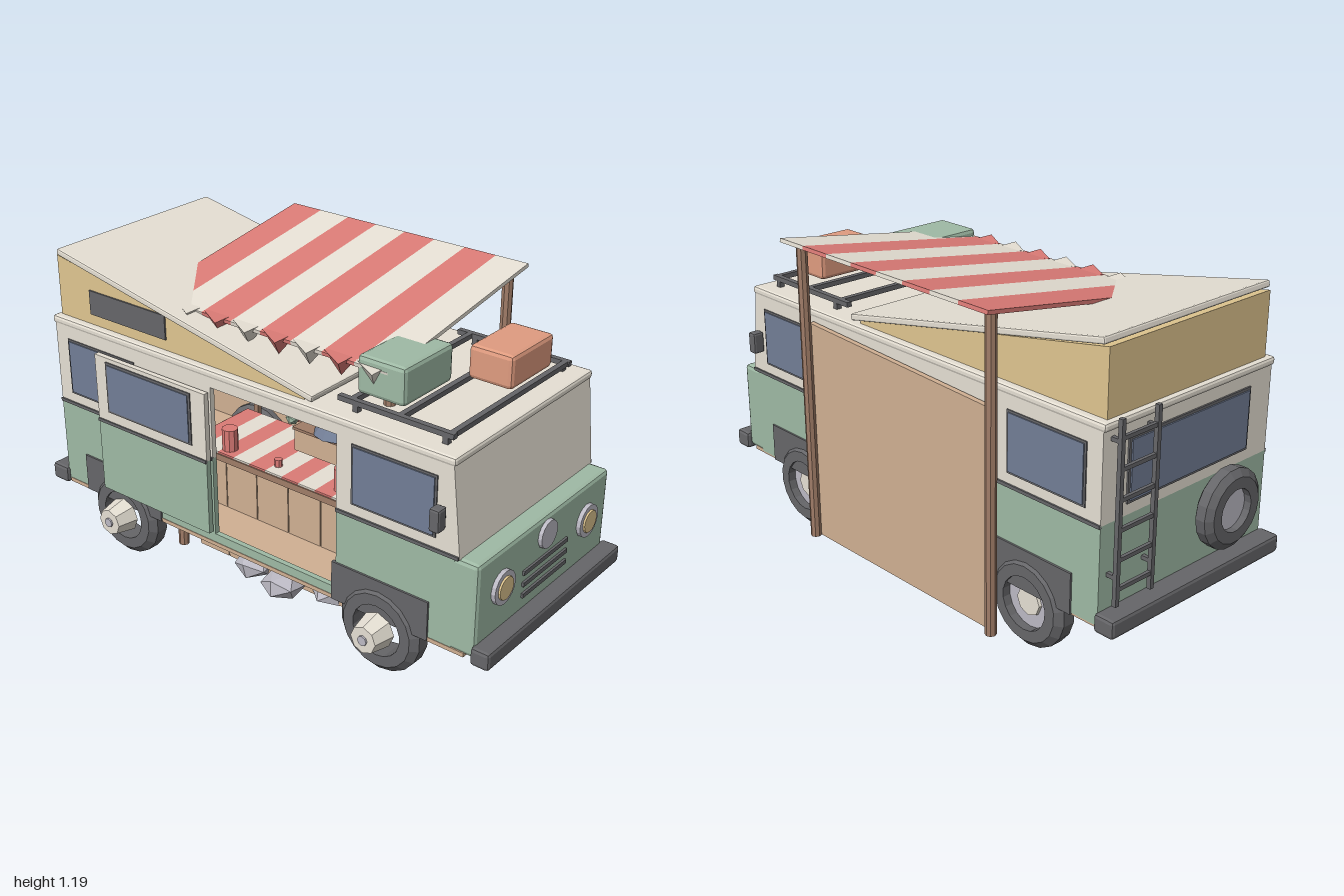
import * as THREE from 'three';
import { RoundedBoxGeometry } from 'three/addons/geometries/RoundedBoxGeometry.js';

const mat = (name, color) => {
  const m = new THREE.MeshStandardMaterial({ color });
  m.name = name;
  return m;
};

export function createModel() {
  const root = new THREE.Group();
  root.name = 'camperStall';
  const green = mat('sage green', 0x9fbaa5), cream = mat('cream', 0xe6e0d4);
  const dark = mat('charcoal', 0x666669), tan = mat('light wood', 0xd0b093);
  const brown = mat('dark wood', 0xa07d68), red = mat('red', 0xdb7b76);
  const blue = mat('glass blue', 0x727e96), gold = mat('canvas gold', 0xe0c690);
  const grey = mat('stone grey', 0xbcbac4), orange = mat('orange', 0xe09c80);

  const add = (name, geo, m, x = 0, y = 0, z = 0, parent = root) => {
    const mesh = new THREE.Mesh(geo, m);
    mesh.name = name;
    mesh.position.set(x, y, z);
    parent.add(mesh);
    return mesh;
  };
  // box from min / max limits
  const box = (name, m, x0, x1, y0, y1, z0, z1, parent = root) =>
    add(name, new THREE.BoxGeometry(x1 - x0, y1 - y0, z1 - z0), m, (x0 + x1) / 2, (y0 + y1) / 2, (z0 + z1) / 2, parent);
  // box with bevelled edges
  const bevel = (name, m, x0, x1, y0, y1, z0, z1, r = 0.012) =>
    add(name, flat(new RoundedBoxGeometry(x1 - x0, y1 - y0, z1 - z0, 1, r)), m, (x0 + x1) / 2, (y0 + y1) / 2, (z0 + z1) / 2);
  const flat = (g) => {
    const f = g.index ? g.toNonIndexed() : g;
    f.computeVertexNormals();
    return f;
  };
  const cyl = (name, m, r0, r1, h, n, x, y, z, axis = 'y', parent = root) => {
    const g = flat(new THREE.CylinderGeometry(r0, r1, h, n));
    if (axis === 'x') g.rotateZ(-Math.PI / 2);
    if (axis === 'z') g.rotateX(Math.PI / 2);
    return add(name, g, m, x, y, z, parent);
  };
  // xy outline extruded between two z values
  const slab = (name, m, pts, z0, z1) => {
    const s = new THREE.Shape(pts.map((p) => new THREE.Vector2(...p)));
    return add(name, new THREE.ExtrudeGeometry(s, { depth: z1 - z0, bevelEnabled: false }), m, 0, 0, z0);
  };
  // open-centred wheel ring
  const tire = (name, x, y, z, R, r, h, axis) => {
    const k = 0.025;
    const pts = [[r, -h], [R - k, -h], [R, -h * 0.5], [R, h * 0.5], [R - k, h], [r, h], [r, -h]];
    const g = flat(new THREE.LatheGeometry(pts.map((p) => new THREE.Vector2(...p)), 18));
    if (axis === 'z') g.rotateX(Math.PI / 2);
    else g.rotateZ(Math.PI / 2);
    return add(name, g, dark, x, y, z);
  };

  // Van shell: floor, ends, sides with a serving opening
  box('floor', tan, -0.9, 0.9, 0.232, 0.247, -0.398, 0.402);
  box('rearLower', green, -0.91, -0.89, 0.24, 0.58, -0.4, 0.4);
  box('rearUpper', cream, -0.91, -0.89, 0.58, 0.89, -0.4, 0.4);
  box('rearWindowFrame', dark, -0.916, -0.91, 0.62, 0.84, -0.29, 0.29);
  box('rearWindow', blue, -0.921, -0.914, 0.63, 0.83, -0.28, 0.28);
  box('farSideLower', green, -0.89, 0.85, 0.24, 0.58, -0.4, -0.38);
  slab('farSideUpper', cream, [[-0.89, 0.58], [0.865, 0.58], [0.83, 0.89], [-0.89, 0.89]], -0.4, -0.38);
  box('nearRearLower', green, -0.89, -0.15, 0.24, 0.58, 0.38, 0.4);
  box('nearRearUpper', cream, -0.89, -0.15, 0.58, 0.89, 0.38, 0.4);
  box('nearFrontLower', green, 0.39, 0.85, 0.24, 0.58, 0.38, 0.4);
  slab('nearFrontUpper', cream, [[0.39, 0.58], [0.865, 0.58], [0.83, 0.89], [0.39, 0.89]], 0.38, 0.4);
  box('openingHeader', cream, -0.15, 0.39, 0.85, 0.89, 0.38, 0.4);
  box('openingSill', green, -0.15, 0.39, 0.24, 0.28, 0.38, 0.4);
  slab('windscreenPanel', cream, [[0.845, 0.575], [0.868, 0.575], [0.833, 0.89], [0.81, 0.89]], -0.4, 0.4);
  bevel('roof', cream, -0.92, 0.84, 0.885, 0.915, -0.405, 0.405, 0.01);
  box('innerWall', tan, -0.88, 0.8, 0.25, 0.88, -0.38, -0.37);

  // Nose with lights, grille and bumpers
  bevel('nose', green, 0.82, 0.937, 0.24, 0.577, -0.4, 0.4, 0.015);
  for (const s of [-1, 1]) {
    cyl('headlightRim', grey, 0.06, 0.06, 0.02, 16, 0.942, 0.44, s * 0.26, 'x');
    cyl('headlight', gold, 0.04, 0.046, 0.02, 16, 0.948, 0.44, s * 0.26, 'x');
  }
  cyl('noseDisc', grey, 0.05, 0.052, 0.016, 16, 0.942, 0.51, 0, 'x');
  for (const y of [0.34, 0.382, 0.425]) box('grilleBar', dark, 0.93, 0.945, y - 0.008, y + 0.008, -0.135, 0.135);
  bevel('frontBumper', dark, 0.93, 1.0, 0.225, 0.29, -0.415, 0.415);
  bevel('rearBumper', dark, -0.985, -0.905, 0.225, 0.29, -0.415, 0.415);

  // Both flanks: trim, windows, mirrors, wheel arches, wheels
  for (const s of [-1, 1]) {
    const plate = (name, m, x0, x1, y0, y1, d) => box(name, m, x0, x1, y0, y1, s * 0.4 - d, s * 0.4 + d);
    for (const [a, b] of s > 0 ? [[-0.91, -0.15], [0.39, 0.865]] : [[-0.91, 0.865]])
      plate('beltTrim', dark, a, b, 0.573, 0.585, 0.006);
    for (const [a, b] of [[-0.84, -0.52], [0.46, 0.77]]) {
      plate('windowFrame', dark, a - 0.008, b + 0.008, 0.622, 0.838, 0.004);
      plate('sideWindow', blue, a, b, 0.63, 0.83, 0.008);
    }
    bevel('mirror', dark, 0.782, 0.82, 0.67, 0.75, s * 0.43 - 0.022, s * 0.43 + 0.022, 0.008);
    for (const x of [-0.607, 0.57]) {
      plate('wheelArch', dark, x - 0.193, x + 0.193, 0.235, 0.38, 0.007);
      tire('tire', x, 0.195, s * 0.37, 0.16, 0.095, 0.046, 'z');
      if (s > 0) {
        cyl('hub', cream, 0.05, 0.066, 0.08, 8, x, 0.195, 0.445, 'z');
        cyl('hubCap', grey, 0.018, 0.018, 0.01, 8, x, 0.195, 0.487, 'z');
      } else {
        cyl('wheelDisc', grey, 0.098, 0.098, 0.03, 16, x, 0.195, -0.37, 'z');
        cyl('hub', cream, 0.06, 0.05, 0.04, 8, x, 0.195, -0.375, 'z');
      }
    }
  }

  // Slid-back door
  box('doorLower', green, -0.68, -0.15, 0.295, 0.58, 0.41, 0.43);
  box('doorUpper', cream, -0.68, -0.15, 0.58, 0.835, 0.41, 0.43);
  box('doorTrim', dark, -0.68, -0.15, 0.573, 0.585, 0.425, 0.435);
  box('doorWindowFrame', dark, -0.625, -0.215, 0.623, 0.82, 0.43, 0.434);
  box('doorWindow', blue, -0.615, -0.225, 0.632, 0.81, 0.43, 0.437);

  // Spare wheel and ladder on the rear
  tire('spareTire', -0.96, 0.475, 0.15, 0.14, 0.075, 0.036, 'x');
  cyl('spareDisc', grey, 0.078, 0.078, 0.04, 16, -0.95, 0.475, 0.15, 'x');
  for (const z of [-0.36, -0.2]) {
    box('ladderRail', dark, -0.953, -0.937, 0.31, 0.93, z - 0.008, z + 0.008);
    for (const y of [0.4, 0.85]) box('ladderBracket', dark, -0.94, -0.9, y, y + 0.014, z - 0.007, z + 0.007);
  }
  for (let i = 0; i < 6; i++) box('ladderRung', dark, -0.951, -0.939, 0.36 + i * 0.1, 0.374 + i * 0.1, -0.36, -0.2);

  // Pop-up roof
  slab('popRoofCanvas', gold, [[-0.9, 0.91], [0.24, 0.91], [0.24, 0.93], [-0.9, 1.14]], -0.375, 0.375);
  const lid = bevel('popRoofLid', cream, -0.595, 0.595, -0.012, 0.012, -0.387, 0.387, 0.006);
  lid.position.set(-0.305, 1.044, 0);
  lid.rotation.z = -0.192;
  box('popRoofVent', dark, -0.74, -0.37, 0.955, 1.045, 0.373, 0.381);

  // Roof rack and cases
  for (const z of [-0.335, 0.335]) {
    box('rackRail', dark, 0.35, 0.79, 0.937, 0.955, z - 0.01, z + 0.01);
    for (const x of [0.42, 0.76]) box('rackFoot', dark, x - 0.01, x + 0.01, 0.91, 0.94, z - 0.01, z + 0.01);
  }
  for (const x of [0.4, 0.585, 0.775]) box('rackBar', dark, x - 0.01, x + 0.01, 0.937, 0.955, -0.345, 0.345);
  bevel('greenCase', green, 0.39, 0.575, 0.957, 1.09, 0.035, 0.3, 0.015);
  bevel('orangeCase', orange, 0.6, 0.765, 0.957, 1.075, -0.262, -0.01, 0.015);

  // Striped awning, pennants and poles
  const awning = new THREE.Group();
  awning.name = 'awning';
  awning.position.set(0, 1.115, -0.1);
  awning.rotation.x = 0.155;
  root.add(awning);
  for (let i = 0; i < 8; i++) {
    const x = -0.53 + i * 0.13, m = i % 2 ? cream : red;
    box('awningStripe', m, x, x + 0.13, -0.007, 0.007, -0.405, 0.405, awning);
    const g = new THREE.ConeGeometry(0.072, 0.07, 3);
    g.rotateX(Math.PI);
    g.rotateY(Math.PI / 2);
    add('pennant', flat(g), m, x + 0.07, 1.028, 0.288);
  }
  for (const x of [-0.48, 0.47]) {
    cyl('rearPole', brown, 0.02, 0.02, 1.13, 8, x, 0.6, -0.44);
    cyl('frontPole', brown, 0.02, 0.02, 1.02, 8, x, 0.545, 0.23);
  }
  slab('backBoard', tan, [[-0.47, 0.035], [0.47, 0.035], [0.47, 0.87], [-0.47, 0.83]], -0.425, -0.405);

  // Counter with planks and striped cloth
  box('counter', tan, -0.43, 0.45, 0.035, 0.45, 0.0, 0.185);
  for (let i = 0; i < 6; i++) {
    const x = -0.43 + i * 0.1467;
    box('counterPlank', tan, x + 0.002, x + 0.1447, 0.035, 0.445, 0.184, 0.192);
  }
  box('counterTop', brown, -0.46, 0.47, 0.45, 0.475, -0.12, 0.22);
  for (let i = 0; i < 12; i++) {
    const x = -0.45 + i * 0.075;
    box('clothStripe', i % 2 ? cream : red, x, x + 0.075, 0.475, 0.482, -0.115, 0.215);
  }
  for (const x of [-0.42, 0.42]) box('counterLeg', brown, x - 0.01, x + 0.01, 0.035, 0.45, -0.118, -0.105);

  // Produce crate behind the counter
  box('crate', tan, 0.2, 0.4, 0.035, 0.15, -0.1, -0.005);
  for (const y of [0.06, 0.11]) box('crateSlat', brown, 0.195, 0.405, y, y + 0.015, -0.105, -0.003);
  for (let i = 0; i < 6; i++)
    add('fruit', new THREE.IcosahedronGeometry(0.02, 0), red, 0.23 + (i % 3) * 0.065, 0.165, i < 3 ? -0.03 : -0.075);
  box('goldSack', gold, -0.1, 0.1, 0.15, 0.22, -0.1, -0.03);

  // Serving shelf and goods
  box('shelfBox', tan, -0.035, 0.36, 0.53, 0.612, -0.02, 0.1);
  box('shelfBoard', brown, -0.04, 0.39, 0.612, 0.622, -0.02, 0.105);
  for (const x of [-0.02, 0.33]) box('shelfLeg', brown, x, x + 0.015, 0.48, 0.53, 0.0, 0.015);
  box('wallCabinet', tan, -0.3, 0.01, 0.665, 0.76, -0.1, 0.05);
  box('cabinetBase', brown, -0.3, 0.015, 0.655, 0.665, -0.1, 0.055);
  box('topShelf', tan, -0.45, 0.45, 0.825, 0.845, -0.2, 0.0);
  box('topShelfEdge', brown, -0.45, 0.45, 0.81, 0.825, -0.2, -0.01);
  box('pictureFrame', brown, 0.03, 0.22, 0.62, 0.75, -0.37, -0.36);
  for (const x of [-0.44, 0.42]) box('shelfPost', brown, x, x + 0.02, 0.25, 0.85, -0.16, -0.14);
  cyl('lampShade', blue, 0.02, 0.085, 0.1, 10, 0.11, 0.672, 0.04);
  cyl('lampTop', gold, 0.018, 0.022, 0.08, 8, 0.1, 0.76, 0.04);
  for (const [x, z] of [[0.22, 0.15], [-0.28, 0.17]]) cyl('mug', red, 0.03, 0.03, 0.085, 10, x, 0.523, z);
  add('potPlant', new THREE.IcosahedronGeometry(0.025, 0), green, -0.06, 0.64, 0.08);
  for (const x of [-0.06, 0.27, 0.36]) {
    cyl('jar', red, 0.018, 0.018, 0.06, 8, x, 0.652, 0.05);
    cyl('smallJar', red, 0.015, 0.015, 0.03, 8, x, 0.495, 0.16);
  }

  // Fire pit: stone ring and leaning logs
  for (let i = 0; i < 8; i++) {
    const a = 0.113 + (i * Math.PI) / 4;
    const rock = add('pitStone', new THREE.IcosahedronGeometry(0.08, 0), grey, Math.sin(a) * 0.235, 0.066, Math.cos(a) * 0.245);
    rock.scale.set(1.05, 0.7, 1.05);
    rock.rotation.set(i % 2 ? 0.15 : -0.15, i * 0.9, 0.1);
  }
  for (let i = 0; i < 6; i++) {
    const pivot = new THREE.Group();
    pivot.name = 'fireLog';
    pivot.rotation.y = (i * Math.PI) / 3;
    root.add(pivot);
    cyl('log', brown, 0.012, 0.015, 0.19, 6, 0.055, 0.075, 0, 'y', pivot).rotation.z = 0.75;
    cyl('emberLog', brown, 0.012, 0.012, 0.1, 6, 0.06, 0.014, 0, 'x', pivot);
  }
  return root;
}
